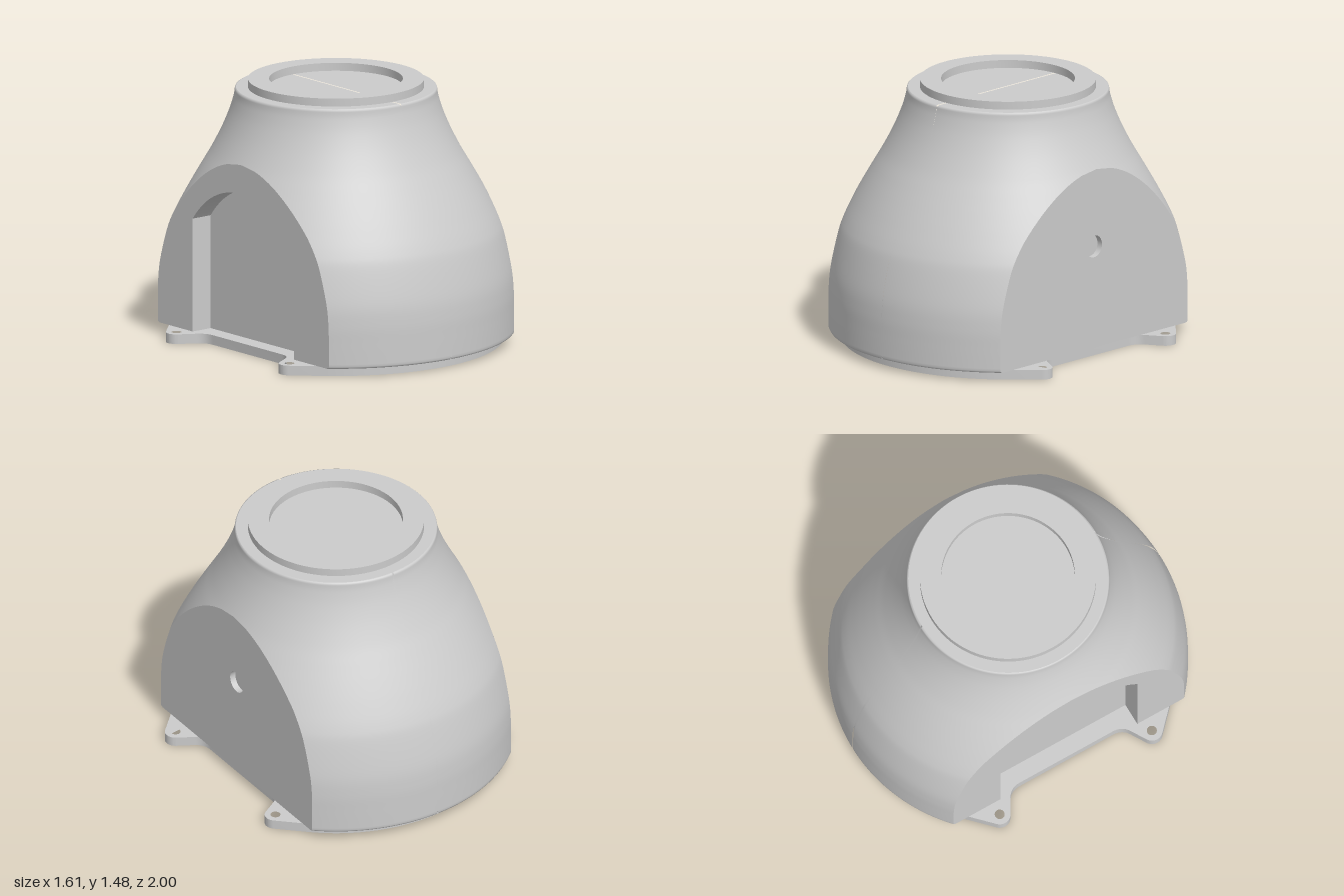
import * as THREE from 'three';
import { toCreasedNormals } from 'three/addons/utils/BufferGeometryUtils.js';

const V = (x, y) => new THREE.Vector2(x, y);
const BASE = 0.055, TOP = 1.435, GAP = 0.005, APEX = 1.09;
const mat = new THREE.MeshStandardMaterial({ color: 0xcccccc });
const matDouble = new THREE.MeshStandardMaterial({ color: 0xcccccc, side: THREE.DoubleSide });

// Bell profile (radius, height) with small rounded edges at both ends
const bell = new THREE.SplineCurve([
  V(1, 0.067), V(1, 0.19), V(0.998, 0.3), V(0.985, 0.42), V(0.943, 0.6), V(0.91, 0.69), V(0.855, 0.8),
  V(0.8, 0.9), V(0.745, 0.995), V(0.69, APEX), V(0.635, 1.2), V(0.594, 1.3), V(0.57, 1.38), V(0.563, 1.424),
]).getPoints(13 * 6);
const rows = [V(0.988, BASE), V(0.996, 0.058), ...bell, V(0.56, 1.432), V(0.552, TOP)];

// Distance of the side faces from the middle: upright, then leaning out slightly
const sideX = (y) => 0.67 + 0.02 * Math.max(0, (y - 0.77) / (APEX - 0.77));

function mesh(name, geometry, material = mat) {
  const m = new THREE.Mesh(geometry, material);
  m.name = name;
  return m;
}

// One quarter of the curved shell, ending exactly on the crease of the side face
function shellQuarter(sx, sz) {
  const n = 40, w = n + 1, pos = [], nor = [], idx = [];
  rows.forEach((p, j) => {
    const a = rows[Math.max(0, j - 1)], b = rows[Math.min(rows.length - 1, j + 1)];
    const slope = V(b.y - a.y, a.x - b.x).normalize();
    const start = Math.asin(GAP / p.x);
    const end = p.y >= APEX - 1e-6 ? Math.PI / 2 : Math.asin(Math.min(1, sideX(p.y) / p.x));
    for (let i = 0; i <= n; i++) {
      const t = start + (end - start) * i / n, s = sx * Math.sin(t), c = sz * Math.cos(t);
      pos.push(p.x * s, p.y, p.x * c);
      nor.push(slope.x * s, slope.y, slope.x * c);
      if (j && i) {
        const q = j * w + i, k = [q - w - 1, q - w, q, q - 1];
        if (sx * sz < 0) k.reverse();
        idx.push(k[0], k[1], k[2], k[0], k[2], k[3]);
      }
    }
  });
  const g = new THREE.BufferGeometry();
  g.setAttribute('position', new THREE.Float32BufferAttribute(pos, 3));
  g.setAttribute('normal', new THREE.Float32BufferAttribute(nor, 3));
  g.setIndex(idx);
  return g;
}

// Turns a (z, y) shape to face +x or -x and pushes it out to x = side * reach(y)
function sideFace(shape, side, reach) {
  const g = new THREE.ShapeGeometry(shape, 48).rotateY(side * Math.PI / 2);
  const p = g.attributes.position;
  for (let i = 0; i < p.count; i++) p.setX(i, side * reach(p.getY(i)));
  return g;
}

// Flat plate from a (x, z) shape, between two heights
function slab(shape, y0, y1) {
  const g = new THREE.ExtrudeGeometry(shape, { depth: y1 - y0, bevelEnabled: false, curveSegments: 48 });
  return toCreasedNormals(g.rotateX(Math.PI / 2).translate(0, y1, 0), 0.5);
}

function circleHole(x, y, r) {
  return new THREE.Path().absarc(x, y, r, 0, Math.PI * 2, true);
}

// Points of an arc
function arc(cx, cy, r, a0, a1, n) {
  return Array.from({ length: n + 1 }, (_, i) => {
    const a = a0 + (a1 - a0) * i / n;
    return V(cx + r * Math.cos(a), cy + r * Math.sin(a));
  });
}

// Base plate outline: trimmed disc with four mounting ears
function basePlateShape() {
  const quarter = [
    ...arc(0, 0, 0.93, Math.PI / 2, Math.acos(0.64 / 0.93), 24),
    ...arc(0.745, 0.49, 0.06, Math.PI / 4, -Math.PI / 3, 14),
    ...new THREE.QuadraticBezierCurve(V(0.69, 0.388), V(0.64, 0.36), V(0.64, 0.3)).getPoints(8),
  ];
  const flip = (pts, sx, sz) => pts.map((p) => V(p.x * sx, p.y * sz));
  const back = [...quarter].reverse();
  const shape = new THREE.Shape([
    ...quarter, ...flip(back, 1, -1), ...flip(quarter, -1, -1).slice(1), ...flip(back, -1, 1).slice(0, -1),
  ]);
  const holes = [[0.745, 0.49, 0.028], [0.45, 0.45, 0.04], [0.57, 0.58, 0.011], [0.42, 0.58, 0.011], [0.44, 0.16, 0.01]];
  for (const [x, z, r] of holes)
    for (const sx of [1, -1]) for (const sz of [1, -1]) shape.holes.push(circleHole(sx * x, sz * z, r));
  for (const x of [-0.3, 0, 0.3]) shape.holes.push(circleHole(x, 0, 0.012));
  return shape;
}

export function createModel() {
  const model = new THREE.Group();
  model.name = 'bellHousing';

  // Mounting plate
  model.add(mesh('basePlate', slab(basePlateShape(), 0, BASE)));

  // Curved shell halves, parted by a narrow seam
  for (const sx of [1, -1]) {
    const half = new THREE.Group();
    half.name = sx > 0 ? 'leftShell' : 'rightShell';
    for (const sz of [1, -1]) half.add(mesh(sz > 0 ? 'frontShell' : 'backShell', shellQuarter(sx, sz)));
    const cap = new THREE.CircleGeometry(0.552, 48, -sx * Math.PI / 2, Math.PI);
    if (sx < 0) cap.rotateZ(0);
    half.add(mesh('shellTop', cap.rotateX(-Math.PI / 2).translate(sx * GAP, TOP, 0)));
    model.add(half);
  }

  // Core that forms the floor of the seam
  const inset = 0.012;
  const coreEdge = rows.map((p) => V(p.x - inset, Math.min(p.y, TOP - inset)));
  const core = new THREE.ExtrudeGeometry(
    new THREE.Shape([...coreEdge, ...[...coreEdge].reverse().map((p) => V(-p.x, p.y))]),
    { depth: 0.03, bevelEnabled: false });
  model.add(mesh('seamCore', core.translate(0, 0, -0.015).rotateY(Math.PI / 2)));

  // Outline of the side faces, from one bottom corner over the arch to the other
  const edge = rows.filter((p) => p.y <= APEX + 1e-6)
    .map((p) => V(Math.sqrt(Math.max(0, p.x ** 2 - sideX(p.y) ** 2)), p.y));
  const outline = [...edge, ...edge.slice(0, -1).reverse().map((p) => V(-p.x, p.y))];

  // Closed side face with a shallow round socket
  const socketY = 0.64, socketR = 0.063, socketDepth = 0.035;
  const closed = new THREE.Shape(outline);
  closed.holes.push(circleHole(0, socketY, socketR));
  model.add(mesh('leftSideFace', sideFace(closed, 1, sideX)));
  const wall = new THREE.CylinderGeometry(socketR, socketR, socketDepth, 48, 1, true);
  model.add(mesh('socketWall', wall.rotateZ(Math.PI / 2).translate(0.67 - socketDepth / 2, socketY, 0), matDouble));
  const floor = new THREE.CircleGeometry(socketR, 48);
  model.add(mesh('socketFloor', floor.rotateY(Math.PI / 2).translate(0.67 - socketDepth, socketY, 0)));

  // Opposite side face with an arched recess
  const half = 0.44, spring = 0.7, archY = 0.377, recessX = 0.54;
  const a0 = Math.atan2(spring - archY, half);
  const arch = [V(half, BASE), ...arc(0, archY, Math.hypot(half, spring - archY), a0, Math.PI - a0, 32), V(-half, BASE)];
  const open = new THREE.Shape([...outline, ...[...arch].reverse()]);
  model.add(mesh('rightSideFace', sideFace(open, -1, sideX)));
  model.add(mesh('recessBack', sideFace(new THREE.Shape(arch), -1, () => recessX)));
  const strip = [];
  for (let i = 1; i < arch.length; i++) {
    const [p, q] = [arch[i - 1], arch[i]];
    const P = [-sideX(p.y), p.y, p.x], Q = [-sideX(q.y), q.y, q.x];
    const p2 = [-recessX, p.y, p.x], q2 = [-recessX, q.y, q.x];
    strip.push(...P, ...p2, ...q2, ...P, ...q2, ...Q);
  }
  const reveal = new THREE.BufferGeometry();
  reveal.setAttribute('position', new THREE.Float32BufferAttribute(strip, 3));
  reveal.computeVertexNormals();
  model.add(mesh('recessReveal', toCreasedNormals(reveal, 0.4), matDouble));

  // Underside of the shell, notched for the recess
  const r0 = rows[0].x, c0 = Math.acos(0.67 / r0);
  const under = new THREE.Shape([
    ...arc(0, 0, r0, c0, Math.PI - c0, 48),
    V(-0.67, half), V(-recessX, half), V(-recessX, -half), V(-0.67, -half),
    ...arc(0, 0, r0, Math.PI + c0, Math.PI * 2 - c0, 48),
  ]);
  model.add(mesh('shellUnderside', new THREE.ShapeGeometry(under).rotateX(Math.PI / 2).translate(0, BASE, 0)));

  // Raised ring on top
  const ring = new THREE.Shape().absarc(0, 0, 0.49, 0, Math.PI * 2);
  ring.holes.push(circleHole(0, 0, 0.372));
  model.add(mesh('topRing', slab(ring, TOP, 1.48)));

  return model;
}
